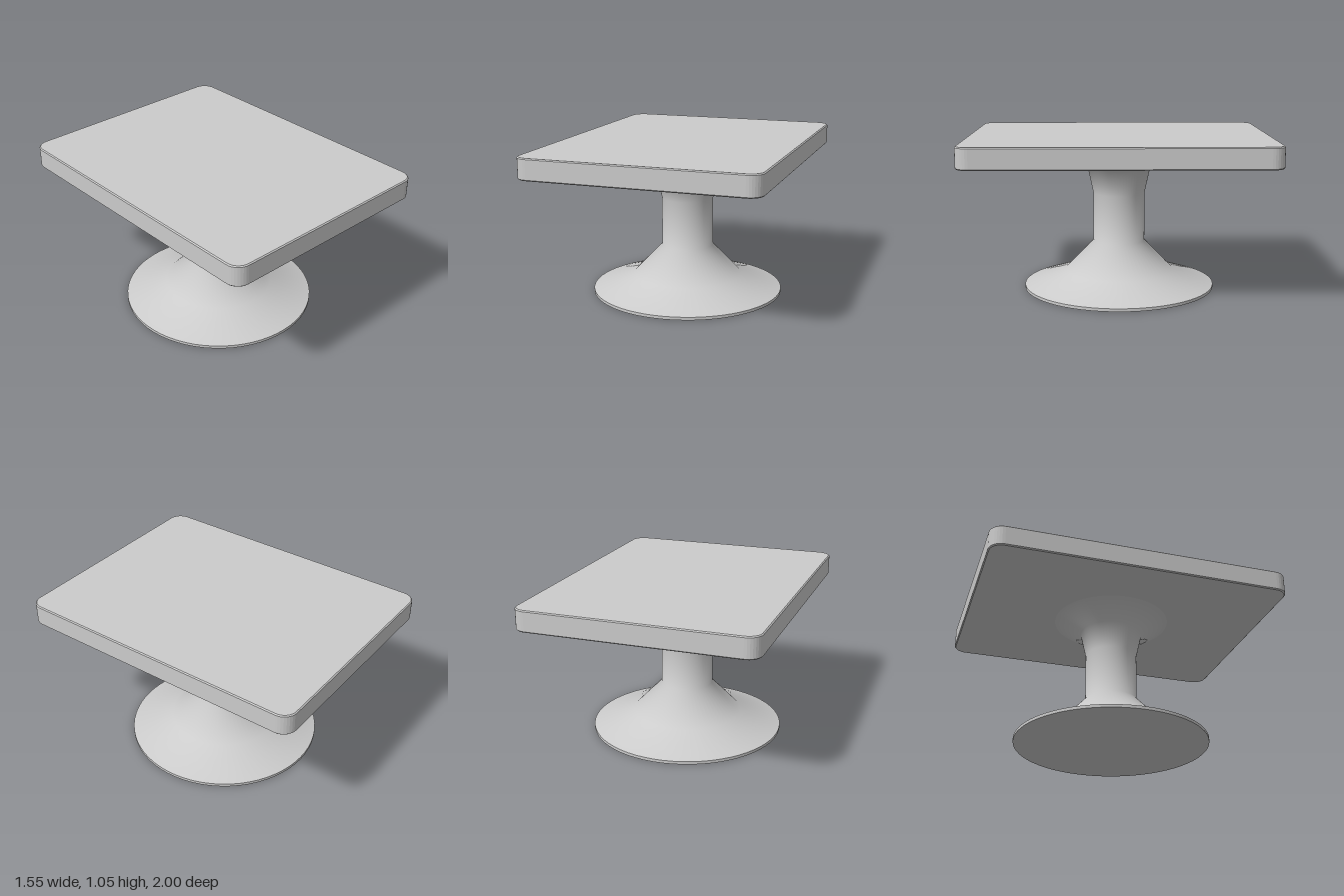
import * as THREE from 'three';
import { toCreasedNormals } from 'three/addons/utils/BufferGeometryUtils.js';

const material = new THREE.MeshStandardMaterial({ color: 0xcccccc });

function roundedRect(halfW, halfH, r) {
  const s = new THREE.Shape();
  s.moveTo(halfW, -halfH + r);
  s.absarc(halfW - r, halfH - r, r, 0, Math.PI / 2);
  s.absarc(-halfW + r, halfH - r, r, Math.PI / 2, Math.PI);
  s.absarc(-halfW + r, -halfH + r, r, Math.PI, Math.PI * 1.5);
  s.absarc(halfW - r, -halfH + r, r, Math.PI * 1.5, Math.PI * 2);
  return s;
}

export function createModel() {
  const model = new THREE.Group();
  model.name = 'pedestalTable';

  // Slab top with rounded corners and a fine bevel
  const bottom = 0.915, top = 1.055, bevel = 0.007;
  const topGeometry = new THREE.ExtrudeGeometry(roundedRect(0.775, 1, 0.09), {
    depth: top - bottom - 2 * bevel,
    curveSegments: 4,
    bevelThickness: bevel,
    bevelSize: bevel,
    bevelOffset: -bevel,
    bevelSegments: 1,
  });
  topGeometry.rotateX(-Math.PI / 2).translate(0, bottom + bevel, 0);
  const tabletop = new THREE.Mesh(topGeometry, material);
  tabletop.name = 'tabletop';
  model.add(tabletop);

  // Turned pedestal: wide foot, narrow waist, flared neck
  const profile = [
    [0, 0], [0.65, 0], [0.65, 0.02], [0.37, 0.115], [0.175, 0.32],
    [0.175, 0.65], [0.212, 0.82], [0.4, 0.918],
  ].map(([x, y]) => new THREE.Vector2(x, y));
  const pedestal = new THREE.Mesh(
    toCreasedNormals(new THREE.LatheGeometry(profile, 64), 1), material);
  pedestal.name = 'pedestal';
  model.add(pedestal);

  return model;
}
